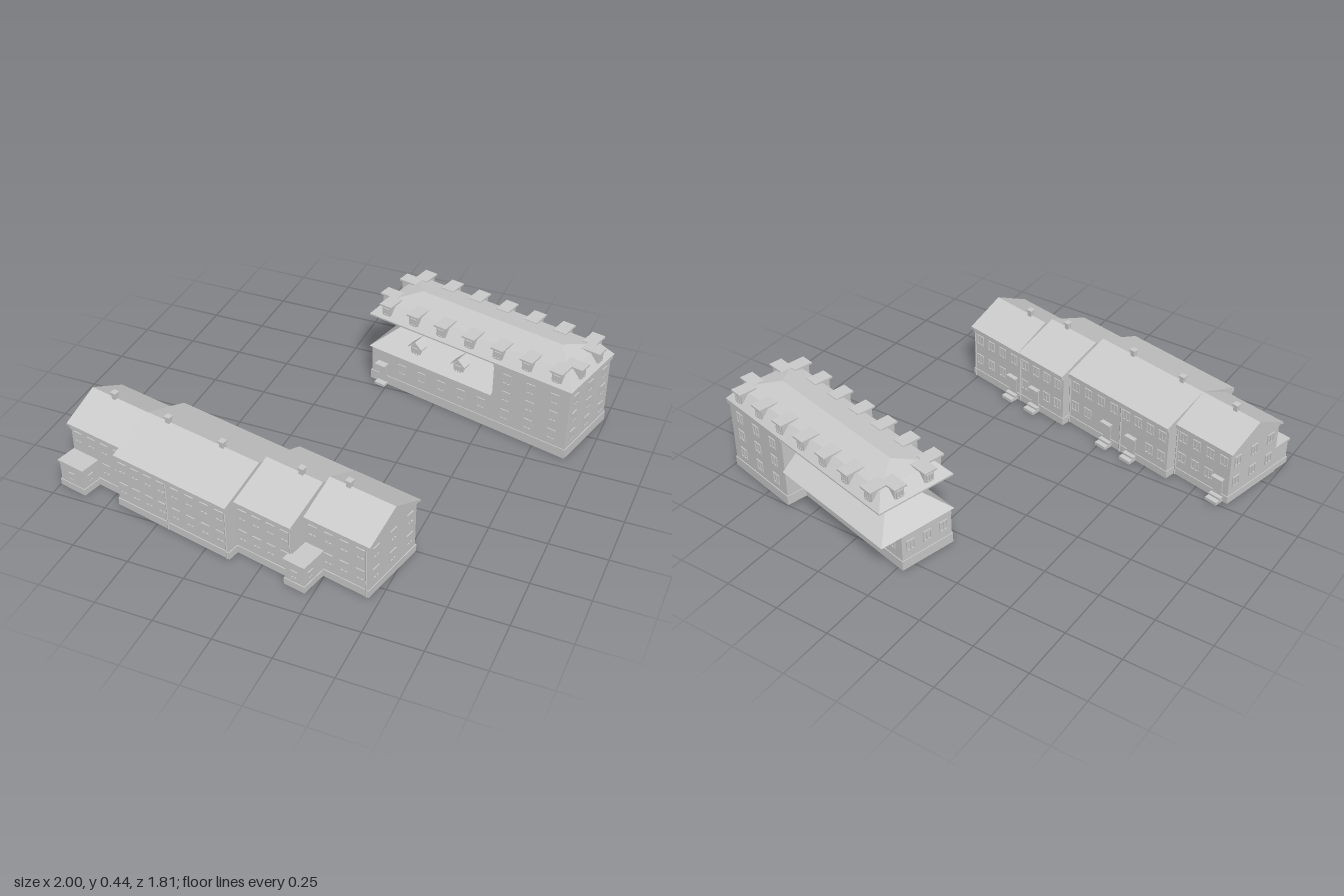
import * as THREE from 'three';

const solid = new THREE.MeshStandardMaterial({ color: 0xcccccc, flatShading: true });
const shell = new THREE.MeshStandardMaterial({ color: 0xcccccc, flatShading: true, side: THREE.DoubleSide });

function add(parent, name, geometry, material = solid) {
  const mesh = new THREE.Mesh(geometry, material);
  mesh.name = name;
  parent.add(mesh);
  return mesh;
}

function box(parent, name, x0, x1, y0, y1, z0, z1) {
  const mesh = add(parent, name, new THREE.BoxGeometry(x1 - x0, y1 - y0, z1 - z0));
  mesh.position.set((x0 + x1) / 2, (y0 + y1) / 2, (z0 + z1) / 2);
  return mesh;
}

// Convex polygons, each split into a fan of triangles
function faces(parent, name, polygons) {
  const pos = [];
  for (const p of polygons)
    for (let i = 1; i < p.length - 1; i++) pos.push(...p[0], ...p[i], ...p[i + 1]);
  const g = new THREE.BufferGeometry();
  g.setAttribute('position', new THREE.Float32BufferAttribute(pos, 3));
  g.computeVertexNormals();
  return add(parent, name, g, shell);
}

const rect = (x0, x1, y, z0, z1) => [[x0, y, z0], [x0, y, z1], [x1, y, z1], [x1, y, z0]];

// Side faces between two loops of the same length
const band = (a, b) => a.map((p, i) => {
  const j = (i + 1) % a.length;
  return [p, a[j], b[j], b[i]];
});

// Open-bottomed walls with a slightly projecting plinth
function walls(parent, x0, x1, z0, z1, h, plinth = 0.035) {
  faces(parent, 'walls', band(rect(x0, x1, 0, z0, z1), rect(x0, x1, h, z0, z1)));
  const e = 0.004;
  const low = rect(x0 - e, x1 + e, 0, z0 - e, z1 + e);
  const top = rect(x0 - e, x1 + e, plinth, z0 - e, z1 + e);
  faces(parent, 'plinth', [...band(low, top), ...band(top, rect(x0, x1, plinth, z0, z1))]);
}

// Window frame with two panes left open
function frameGeometry(w, h) {
  const ring = (x0, x1, y0, y1, C) => new C([[x0, y0], [x1, y0], [x1, y1], [x0, y1]].map(p => new THREE.Vector2(...p)));
  const s = ring(-w / 2, w / 2, -h / 2, h / 2, THREE.Shape);
  const t = 0.005;
  s.holes.push(ring(-w / 2 + t, -t / 2, -h / 2 + t, h / 2 - t, THREE.Path));
  s.holes.push(ring(t / 2, w / 2 - t, -h / 2 + t, h / 2 - t, THREE.Path));
  return new THREE.ExtrudeGeometry(s, { depth: 0.005, bevelEnabled: false });
}
const frame = frameGeometry(0.042, 0.05);
const smallFrame = frameGeometry(0.032, 0.036);

// A grid of windows on a wall; turn is the wall's facing about y
function windows(parent, places, rows, turn, geometry = frame) {
  for (const [x, z] of places) for (const y of rows) {
    const w = add(parent, 'window', geometry);
    w.position.set(x, y, z);
    w.rotation.y = turn;
  }
}
const spread = (a, b, n) => Array.from({ length: n }, (_, i) => a + (b - a) * (i + 0.5) / n);

// Gabled roof slab running along x
function gableRoof(parent, x0, x1, z0, z1, eave, ridge, t = 0.01) {
  const m = (z0 + z1) / 2;
  const s = new THREE.Shape([[-z0, eave], [-m, ridge], [-z1, eave], [-z1, eave - t], [-m, ridge - t], [-z0, eave - t]]
    .map(p => new THREE.Vector2(...p)));
  const g = new THREE.ExtrudeGeometry(s, { depth: x1 - x0, bevelEnabled: false });
  add(parent, 'roof', g.rotateY(Math.PI / 2).translate(x0, 0, 0));
}

function terrace() {
  const group = new THREE.Group();
  group.name = 'terrace';
  group.rotation.y = -0.2164;
  // x start, x end, back z, front z
  const blocks = [
    [-0.84, -0.535, 0.46, 0.8], [-0.535, -0.26, 0.407, 0.85], [-0.26, 0.045, 0.407, 0.85],
    [0.045, 0.32, 0.365, 0.797], [0.32, 0.63, 0.363, 0.712]];
  const steps = [-0.777, -0.334, -0.19, 0.219, 0.359];
  const chimneys = [-0.713, -0.421, -0.138, 0.22, 0.415];
  blocks.forEach(([x0, x1, z0, z1], i) => {
    const b = new THREE.Group();
    b.name = 'house';
    group.add(b);
    const e = 0.012, zb = z0 + e, zf = z1 - e, m = (z0 + z1) / 2;
    const a = i === 0 ? x0 + e : x0, c = i === 4 ? x1 - e : x1;
    walls(b, a, c, zb, zf, 0.26);
    faces(b, 'gable', [a, c].map(x => [[x, 0.26, zb], [x, 0.26, zf], [x, 0.338, m]]));
    gableRoof(b, x0, x1, z0, z1, 0.264, 0.349);
    box(b, 'cornice', a, c, 0.242, 0.254, z0 + 0.002, zb);
    box(b, 'cornice', a, c, 0.242, 0.254, zf, z1 - 0.002);

    // Windows, leaving room for the porches and doors
    const cols = spread(a, c, 4);
    windows(b, cols.map(x => [x, zf]), [0.205], 0);
    windows(b, cols.filter((_, k) => !(i === 0 && k < 2) && !(i === 4 && k < 1)).map(x => [x, zf]), [0.1], 0);
    windows(b, cols.map(x => [x, zb]), [0.205], Math.PI);
    windows(b, cols.filter(x => Math.abs(x - steps[i]) > 0.045).map(x => [x, zb]), [0.1], Math.PI);

    // Back door with hood and steps
    const s = steps[i];
    box(b, 'door', s - 0.022, s + 0.022, 0.015, 0.105, zb - 0.005, zb + 0.002);
    box(b, 'doorHood', s - 0.028, s + 0.028, 0.11, 0.116, zb - 0.022, zb);
    box(b, 'step', s - 0.03, s + 0.03, 0, 0.015, z0 - 0.035, zb);
    box(b, 'step', s - 0.03, s + 0.03, 0.015, 0.025, z0 - 0.012, zb);

    // Chimney with cap
    const k = chimneys[i];
    box(b, 'chimney', k - 0.01, k + 0.01, 0.32, 0.37, m - 0.01, m + 0.01);
    box(b, 'chimneyCap', k - 0.014, k + 0.014, 0.369, 0.377, m - 0.014, m + 0.014);

    // Downpipes at the joints
    for (const z of [zb - 0.004, zf + 0.004]) {
      const p = add(b, 'downpipe', new THREE.CylinderGeometry(0.004, 0.004, 0.25, 6));
      p.position.set(c - 0.008, 0.125, z);
    }
  });
  windows(group, spread(0.46, 0.79, 3).map(z => [-0.828, z]), [0.1, 0.205], -Math.PI / 2);
  windows(group, spread(0.363, 0.712, 3).map(z => [0.618, z]), [0.1, 0.205], Math.PI / 2);

  // Flat-roofed front porches
  for (const [x0, x1, z0, z1] of [[-0.83, -0.69, 0.78, 0.885], [0.304, 0.408, 0.69, 0.828]]) {
    const p = new THREE.Group();
    p.name = 'porch';
    group.add(p);
    walls(p, x0 + 0.006, x1 - 0.006, z0, z1 - 0.006, 0.122, 0.03);
    box(p, 'porchRoof', x0, x1, 0.12, 0.13, z0, z1);
    windows(p, [[(x0 + x1) / 2, z1 - 0.006]], [0.07], 0, smallFrame);
    windows(p, [[x1 - 0.006, z1 - 0.045]], [0.07], Math.PI / 2, smallFrame);
  }
  return group;
}

// Box dormer facing +z, its front at the local origin
function dormer(parent, x, z, turn) {
  const d = new THREE.Group();
  d.name = 'dormer';
  d.position.set(x, 0.355, z);
  d.rotation.y = turn;
  parent.add(d);
  box(d, 'dormerBody', -0.024, 0.024, 0, 0.06, -0.075, -0.008);
  box(d, 'dormerRoof', -0.031, 0.031, 0.059, 0.067, -0.085, 0.004);
  windows(d, [[0, -0.008]], [0.03], 0, smallFrame);
}

function mansardBuilding() {
  const group = new THREE.Group();
  group.name = 'mansardBuilding';
  group.position.set(0.45, 0, -0.605);
  group.rotation.y = -0.2426;
  const L = 0.52, W = 0.186, e = 0.01, split = 0.135, rows = [0.1, 0.195, 0.285];

  // Tall wing
  walls(group, split, L - e, -W + e, W - e, 0.345, 0.045);
  const tallCols = spread(split + 0.01, L - 0.02, 3);
  windows(group, tallCols.map(x => [x, W - e]), rows, 0);
  windows(group, tallCols.map(x => [x, -W + e]), rows, Math.PI);
  windows(group, spread(-W, W, 3).map(z => [L - e, z]), rows, Math.PI / 2);
  box(group, 'cornice', split, L - 0.003, 0.328, 0.345, -W + 0.003, W - 0.003);

  // Low wing, set back at the rear under a wide eave
  const back = -0.08, lowCols = spread(-L + 0.02, split, 6);
  walls(group, -L + e, split, back, W - e, 0.177, 0.045);
  windows(group, lowCols.slice(1).map(x => [x, W - e]), [0.11], 0);
  windows(group, lowCols.map(x => [x, back]), [0.11], Math.PI);
  windows(group, spread(back, W - e, 3).map(z => [-L + e, z]), [0.11], -Math.PI / 2);
  const r0 = [-0.34, 0.335, 0], r1 = [split, 0.335, 0];
  const [bl, fl, fr, br] = rect(-L, split, 0.177, -W, W);
  faces(group, 'lowRoof', [[fl, fr, r1, r0], [br, bl, r0, r1], [bl, fl, r0]]);
  for (const x of [-0.29, -0.06]) {
    const d = new THREE.Group();
    d.name = 'lowDormer';
    d.position.set(x, 0, 0.15);
    d.rotation.y = -Math.PI / 2;
    group.add(d);
    box(d, 'dormerBody', -0.09, 0, 0.19, 0.238, -0.026, 0.026);
    faces(d, 'dormerGable', [[[0, 0.238, -0.026], [0, 0.238, 0.026], [0, 0.262, 0]]]);
    gableRoof(d, -0.11, 0.008, -0.036, 0.036, 0.24, 0.27, 0.006);
    windows(d, [[0, 0]], [0.217], Math.PI / 2, smallFrame);
  }

  // Entrance at the front
  box(group, 'door', -0.465, -0.425, 0.01, 0.1, W - e, W - 0.004);
  box(group, 'doorHood', -0.472, -0.418, 0.105, 0.112, W - e, W + 0.025);
  box(group, 'step', -0.472, -0.418, 0, 0.012, W - e, W + 0.025);

  // Mansard: steep lower slope, shallow hipped top, flat underside
  const eave = rect(-L, L, 0.345, -W, W);
  const lip = rect(-L, L, 0.352, -W, W);
  const knee = rect(-L + 0.05, L - 0.05, 0.412, -W + 0.05, W - 0.05);
  const a = [-0.36, 0.436, 0], b = [0.36, 0.436, 0];
  faces(group, 'mansardRoof', [eave, ...band(eave, lip), ...band(lip, knee),
    [knee[1], knee[2], b, a], [knee[3], knee[0], a, b], [knee[0], knee[1], a], [knee[2], knee[3], b]]);
  for (const x of spread(-L + 0.01, L - 0.01, 7)) {
    dormer(group, x, W - 0.005, 0);
    dormer(group, x, -W + 0.005, Math.PI);
  }
  for (const z of [-0.075, 0.075]) {
    dormer(group, L - 0.005, z, Math.PI / 2);
    dormer(group, -L + 0.005, z, -Math.PI / 2);
  }
  return group;
}

export function createModel() {
  const model = new THREE.Group();
  model.name = 'buildings';
  model.add(terrace(), mansardBuilding());
  return model;
}
